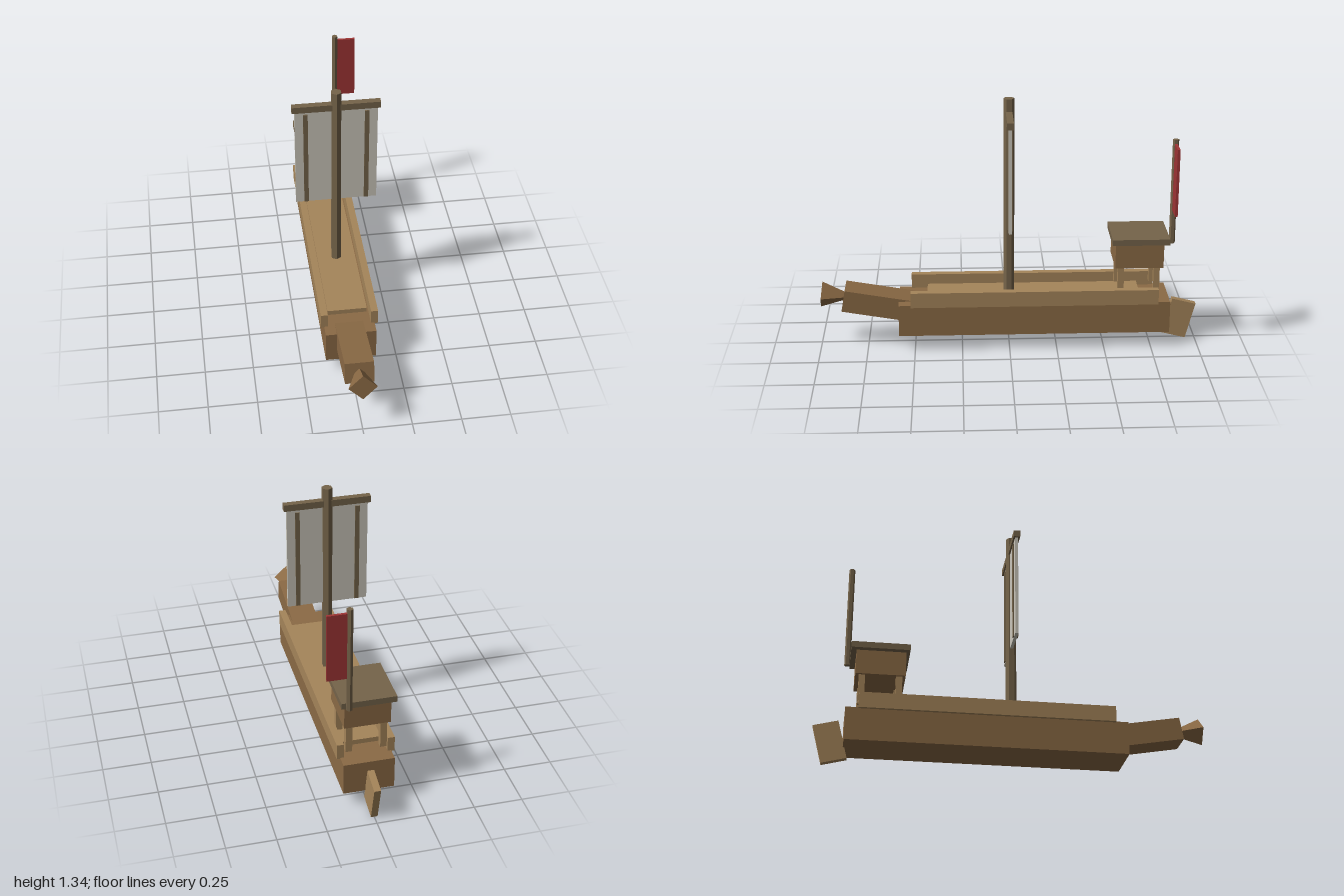
import * as THREE from 'three';

const mat = (color) => new THREE.MeshStandardMaterial({ color, flatShading: true });

export function createModel() {
  const ship = new THREE.Group();
  ship.name = 'sailingShip';

  const hullWood = mat(0x8b6a45);
  const lightWood = mat(0xa5855a);
  const darkWood = mat(0x75644a);
  const cloth = mat(0xccc8bc);
  const red = mat(0xa03535);

  const add = (name, geometry, material, x, y, z, tilt = 0) => {
    const mesh = new THREE.Mesh(geometry, material);
    mesh.name = name;
    mesh.position.set(x, y, z);
    mesh.rotation.x = tilt;
    ship.add(mesh);
    return mesh;
  };

  // Box given by its [min, max] range on each axis
  const block = (name, material, [x0, x1], [y0, y1], [z0, z1]) =>
    add(name, new THREE.BoxGeometry(x1 - x0, y1 - y0, z1 - z0), material,
      (x0 + x1) / 2, (y0 + y1) / 2, (z0 + z1) / 2);

  // Upright six-sided pole
  const pole = (name, radius, [y0, y1], x, z) =>
    add(name, new THREE.CylinderGeometry(radius, radius, y1 - y0, 6), darkWood, x, (y0 + y1) / 2, z);

  // Hull and deck
  block('hull', hullWood, [-0.13, 0.13], [0.093, 0.265], [-0.845, 0.583]);
  block('deck', lightWood, [-0.102, 0.102], [0.255, 0.291], [-0.69, 0.432]);

  // Raised prow with a pyramid figurehead, open end forward
  add('prow', new THREE.BoxGeometry(0.146, 0.118, 0.42), hullWood, 0, 0.235, 0.668, -0.175);
  add('figurehead', new THREE.ConeGeometry(0.072, 0.18, 4), hullWood, 0, 0.276, 0.902, -1.67);

  // Slanted rudder
  add('rudder', new THREE.BoxGeometry(0.034, 0.203, 0.13), lightWood, 0, 0.12, -0.911, -0.25);

  // Mast, yard and sail
  pole('mast', 0.028, [0.27, 1.347], 0, 0);
  block('yard', darkWood, [-0.224, 0.224], [1.245, 1.28], [-0.017, 0.017]);
  block('sail', cloth, [-0.21, 0.21], [0.688, 1.246], [-0.008, 0.008]);

  // Rails, sail battens and cabin posts, mirrored
  for (const s of [1, -1]) {
    const side = (a, b) => (s > 0 ? [a, b] : [-b, -a]);
    block('rail', lightWood, side(0.111, 0.147), [0.26, 0.342], [-0.78, 0.518]);
    block('sailBatten', darkWood, side(0.144, 0.167), [0.69, 1.23], [-0.014, 0.014]);
    for (const z of [-0.583, -0.77]) {
      block('cabinPost', lightWood, side(0.071, 0.104), [0.3, 0.46], [z - 0.016, z + 0.016]);
    }
  }

  // Stern cabin
  block('cabin', hullWood, [-0.117, 0.117], [0.455, 0.584], [-0.803, -0.551]);
  block('cabinRoof', darkWood, [-0.138, 0.138], [0.589, 0.621], [-0.83, -0.532]);

  // Flag at the stern
  pole('flagPole', 0.016, [0.592, 1.152], 0.104, -0.842);
  block('flag', red, [0.112, 0.215], [0.775, 1.13], [-0.849, -0.835]);

  return ship;
}
